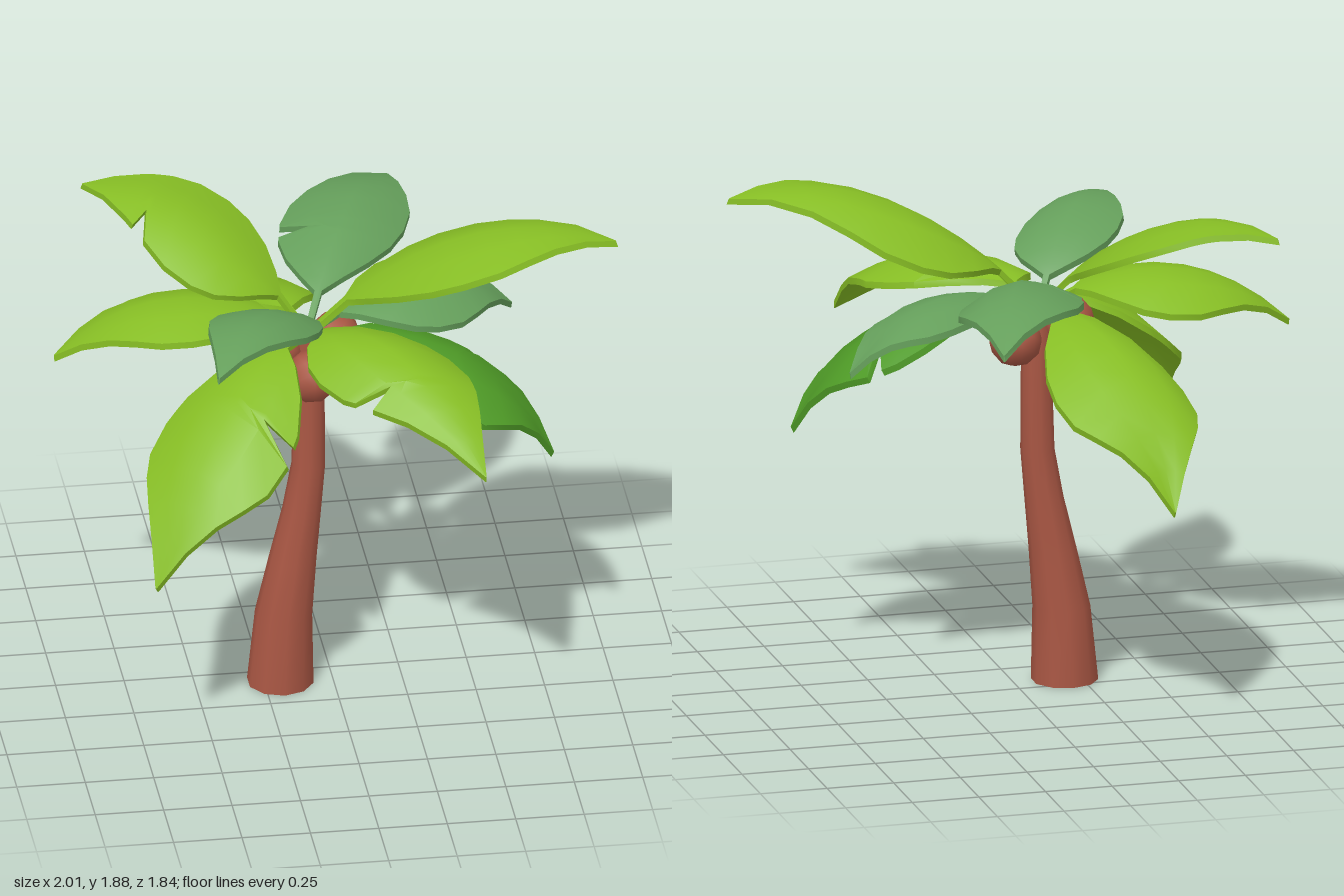
import * as THREE from 'three';
import { toCreasedNormals } from 'three/addons/utils/BufferGeometryUtils.js';

const V = (p) => new THREE.Vector3(...p);

// Width of a leaf (0..1) along its length: thin stalk, broad blade, pointed tip
const widths = [[0, 0.05], [0.13, 0.06], [0.18, 0.34], [0.26, 0.67], [0.36, 0.91], [0.46, 1],
  [0.58, 0.97], [0.68, 0.8], [0.78, 0.56], [0.89, 0.28], [1, 0.01]];

function widthAt(t) {
  let i = 1;
  while (i < widths.length - 1 && widths[i][0] < t) i++;
  const [t0, w0] = widths[i - 1], [t1, w1] = widths[i];
  return w0 + (w1 - w0) * (t - t0) / (t1 - t0);
}

// Curved leaf of even thickness. mid and tip lie on the ridge, left and right
// on the edges at the widest place; notch = [place along leaf, side] cuts a V
function leafGeometry({ mid, tip, left, right, notch }) {
  const base = V([-0.09, 1.42, 0.07]), m = V(mid), end = V(tip);
  const control = m.clone().multiplyScalar(2).addScaledVector(base, -0.5).addScaledVector(end, -0.5);
  const ridge = new THREE.QuadraticBezierCurve3(base, control, end);
  const sides = { '-1': V(left).sub(m), '1': V(right).sub(m) };
  const normal = V(right).sub(V(left)).cross(end.clone().sub(base)).normalize();

  const rows = widths.map(([t]) => ({ t, cut: 1 }));
  if (notch) {
    const n = notch[0];
    const kept = rows.filter((r) => r.t < n - 0.025 || r.t > n + 0.045);
    rows.length = 0;
    rows.push(...kept, { t: n - 0.02, cut: 1 }, { t: n, cut: 0.5 }, { t: n + 0.04, cut: 1 });
    rows.sort((a, b) => a.t - b.t);
  }

  const cols = [-1, -0.5, 0, 0.5, 1], nc = cols.length, pos = [], idx = [];
  for (const depth of [0, -0.024]) {
    for (const { t, cut } of rows) {
      for (const s of cols) {
        const side = s < 0 ? -1 : 1;
        const k = Math.abs(s) * widthAt(t) * (notch && notch[1] === side ? cut : 1);
        const o = sides[side];
        const p = ridge.getPoint(t).add(new THREE.Vector3(o.x * k, o.y * k * k, o.z * k));
        p.addScaledVector(normal, depth);
        pos.push(p.x, p.y, p.z);
      }
    }
  }
  const nr = rows.length, under = nr * nc;
  const quad = (a, b, c, d) => idx.push(a, b, c, b, d, c);
  for (let i = 0; i < nr - 1; i++) {
    for (let j = 0; j < nc - 1; j++) {
      const a = i * nc + j, b = a + 1, c = a + nc, d = c + 1;
      quad(a, b, c, d);
      quad(under + b, under + a, under + d, under + c);
    }
    const l = i * nc, r = l + nc - 1;
    quad(l, l + nc, under + l, under + l + nc);
    quad(r + nc, r, under + r + nc, under + r);
  }
  for (let j = 0; j < nc - 1; j++) {
    const e = (nr - 1) * nc + j;
    quad(j + 1, j, under + j + 1, under + j);
    quad(e, e + 1, under + e, under + e + 1);
  }
  const g = new THREE.BufferGeometry();
  g.setAttribute('position', new THREE.Float32BufferAttribute(pos, 3));
  g.setIndex(idx);
  return toCreasedNormals(g, 0.8);
}

// Tapered, bending, open trunk: each ring is [height, x centre, radius]
function trunkGeometry() {
  const rings = [[0, -0.19, 0.122], [0.28, -0.178, 0.105], [0.5, -0.145, 0.087], [0.7, -0.112, 0.071],
    [0.88, -0.088, 0.062], [1.2, -0.084, 0.056], [1.43, -0.09, 0.05]];
  const g = new THREE.CylinderGeometry(1, 1, 1, 10, rings.length - 1, true);
  const p = g.attributes.position;
  for (let i = 0; i < p.count; i++) {
    const [y, x, r] = rings[Math.round((p.getY(i) + 0.5) * (rings.length - 1))];
    p.setXYZ(i, x + p.getX(i) * r, y, 0.075 + p.getZ(i) * r);
  }
  return toCreasedNormals(g, 0.9);
}

export function createModel() {
  const palm = new THREE.Group();
  palm.name = 'palmTree';
  const material = (name, color) => {
    const m = new THREE.MeshStandardMaterial({ color });
    m.name = name;
    return m;
  };
  const bark = material('bark', 0xa85643);
  bark.side = THREE.DoubleSide;
  const lime = material('limeGreen', 0x86bd24);
  const sage = material('sageGreen', 0x659f5b);
  const green = material('midGreen', 0x4e9a26);
  const add = (name, geometry, mat) => {
    const mesh = new THREE.Mesh(geometry, mat);
    mesh.name = name;
    palm.add(mesh);
    return mesh;
  };

  add('trunk', trunkGeometry(), bark);

  // Coconuts under the crown
  const nut = toCreasedNormals(new THREE.IcosahedronGeometry(0.098, 1), 0.9);
  [[-0.09, 1.293, 0.178], [0.025, 1.33, -0.035], [-0.2, 1.355, 0.06]].forEach((p, i) => {
    add('coconut' + (i + 1), nut, bark).position.set(...p);
  });

  // Leaves around the crown
  const leaves = [
    { name: 'leafLeft', mat: lime, mid: [0.44, 1.825, 0.19], tip: [1, 1.84, 0.32],
      left: [0.43, 1.67, -0.09], right: [0.47, 1.78, 0.44] },
    { name: 'leafFrontLeft', mat: lime, mid: [0.17, 1.53, 0.49], tip: [0.44, 1.23, 0.915],
      left: [0.4, 1.44, 0.44], right: [-0.08, 1.41, 0.5], notch: [0.64, 1] },
    { name: 'leafFrontRight', mat: lime, mid: [-0.45, 1.285, 0.455], tip: [-0.74, 0.77, 0.74],
      left: [-0.27, 1.14, 0.64], right: [-0.66, 1.16, 0.29], notch: [0.42, -1] },
    { name: 'upperLeafFrontRight', mat: sage, mid: [-0.29, 1.67, 0.37], tip: [-0.51, 1.62, 0.75],
      left: [-0.11, 1.59, 0.41], right: [-0.46, 1.63, 0.3] },
    { name: 'leafRight', mat: lime, mid: [-0.57, 1.55, -0.01], tip: [-1, 1.33, -0.045],
      left: [-0.57, 1.49, 0.22], right: [-0.54, 1.44, -0.24] },
    { name: 'leafBackRight', mat: lime, mid: [-0.45, 1.77, -0.21], tip: [-0.83, 1.78, -0.5],
      left: [-0.54, 1.64, 0.02], right: [-0.34, 1.74, -0.42], notch: [0.7, -1] },
    { name: 'leafBack', mat: lime, mid: [-0.25, 1.365, -0.47], tip: [-0.33, 0.91, -0.92],
      left: [-0.49, 1.21, -0.52], right: [0, 1.22, -0.58] },
    { name: 'upperLeafBackLeft', mat: sage, mid: [0.12, 1.66, -0.4], tip: [0.3, 1.54, -0.87],
      left: [-0.1, 1.59, -0.49], right: [0.34, 1.57, -0.41], notch: [0.4, -1] },
    { name: 'lowerLeafBackLeft', mat: sage, mid: [0.34, 1.52, -0.08], tip: [0.7, 1.32, -0.23],
      left: [0.36, 1.46, -0.28], right: [0.42, 1.42, 0.1] },
    { name: 'lowerLeafLeft', mat: green, mid: [0.42, 1.37, 0.2], tip: [0.78, 0.97, 0.28],
      left: [0.5, 1.25, 0], right: [0.44, 1.21, 0.42], notch: [0.54, -1] },
  ];
  for (const leaf of leaves) add(leaf.name, leafGeometry(leaf), leaf.mat);
  return palm;
}
